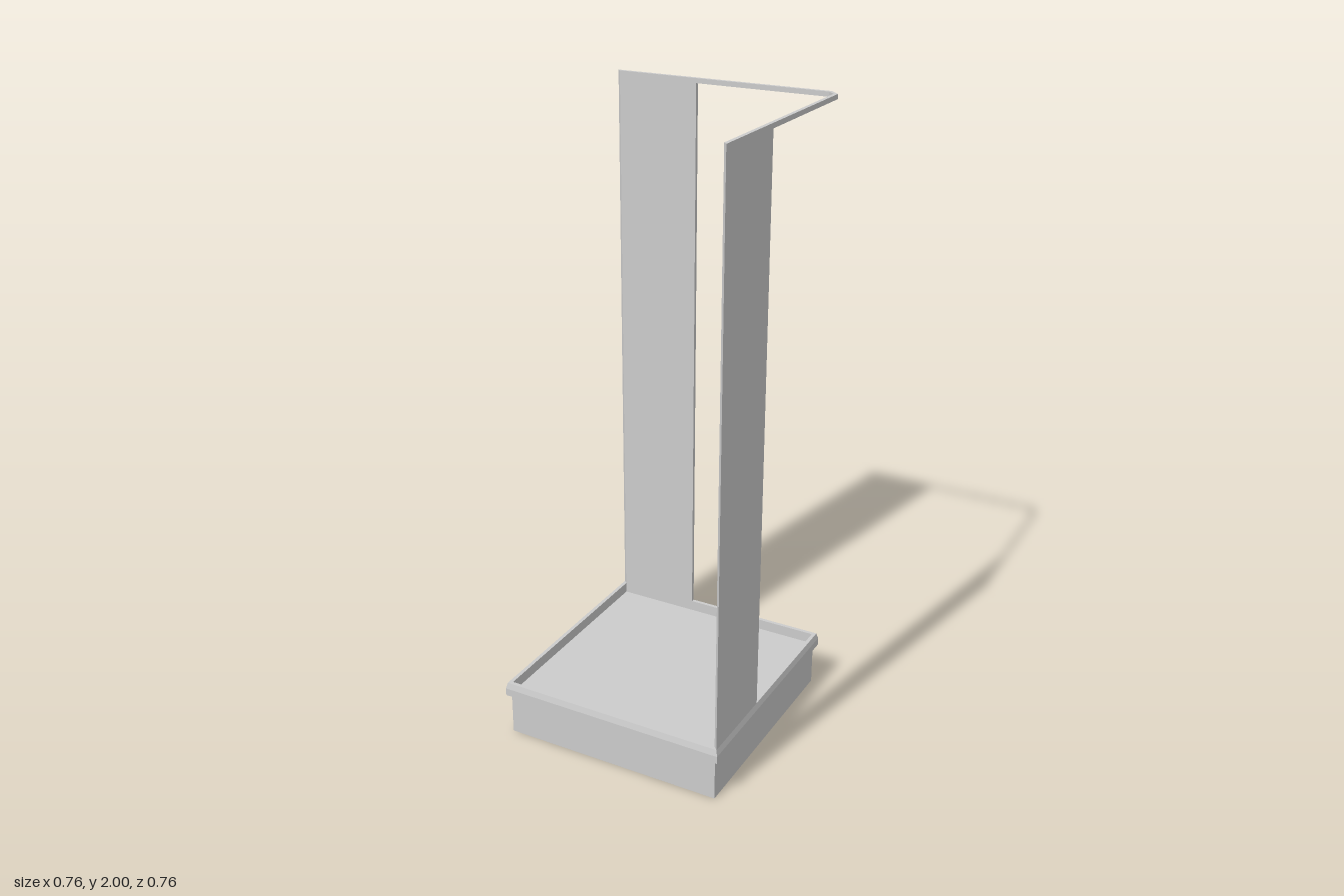
import * as THREE from 'three';

const OUT = 0.373, IN = 0.361, EDGE = 0.095; // wall faces and inner edge of the panels
const RIM_TOP = 0.185, FLOOR = 0.15, TOP = 2, RAIL = 0.015;

const material = new THREE.MeshStandardMaterial({ color: 0xcccccc, flatShading: true });

function add(group, name, geometry) {
  const mesh = new THREE.Mesh(geometry, material);
  mesh.name = name;
  group.add(mesh);
}

// Upright prism from an [x, z] outline
function prism(outline, y0, y1) {
  const shape = new THREE.Shape(outline.map(([x, z]) => new THREE.Vector2(x, -z)));
  return new THREE.ExtrudeGeometry(shape, { depth: y1 - y0, bevelEnabled: false })
    .rotateX(-Math.PI / 2).translate(0, y0, 0);
}

// Square solid from a [half width, y] profile
function squareTurned(profile) {
  const points = profile.map(([r, y]) => new THREE.Vector2(r * Math.SQRT2, y));
  return new THREE.LatheGeometry(points, 4).rotateY(Math.PI / 4).toNonIndexed();
}

export function createModel() {
  const model = new THREE.Group();
  model.name = 'displayStand';

  // Plinth with a recessed floor inside an overhanging, tapered rim
  add(model, 'plinth', squareTurned([[0, 0], [0.365, 0], [0.365, 0.14]]));
  add(model, 'trayRim', squareTurned([
    [0.365, 0.14], [0.378, 0.14], [0.378, 0.165], [OUT, RIM_TOP],
    [IN, RIM_TOP], [IN, FLOOR],
  ]));
  add(model, 'trayFloor', squareTurned([[IN, FLOOR], [0, FLOOR]]));

  // Two tall panels with mitred outer edges, mirrored across the diagonal
  const panel = [[-OUT, -OUT], [-EDGE, -OUT], [-EDGE, -IN], [-IN, -IN]];
  add(model, 'backPanel', prism(panel, RIM_TOP, TOP));
  add(model, 'leftPanel', prism(panel.map(([x, z]) => [-z, -x]), RIM_TOP, TOP));

  // Thin top rail joining the panels round a chamfered corner
  const half = [[-EDGE, -IN], [-EDGE, -OUT], [0.342, -OUT]];
  const inner = [[IN, -0.338], [0.338, -IN]];
  const mirrored = half.map(([x, z]) => [-z, -x]).reverse();
  add(model, 'topRail', prism([...half, ...mirrored, ...inner], TOP - RAIL, TOP));

  return model;
}
